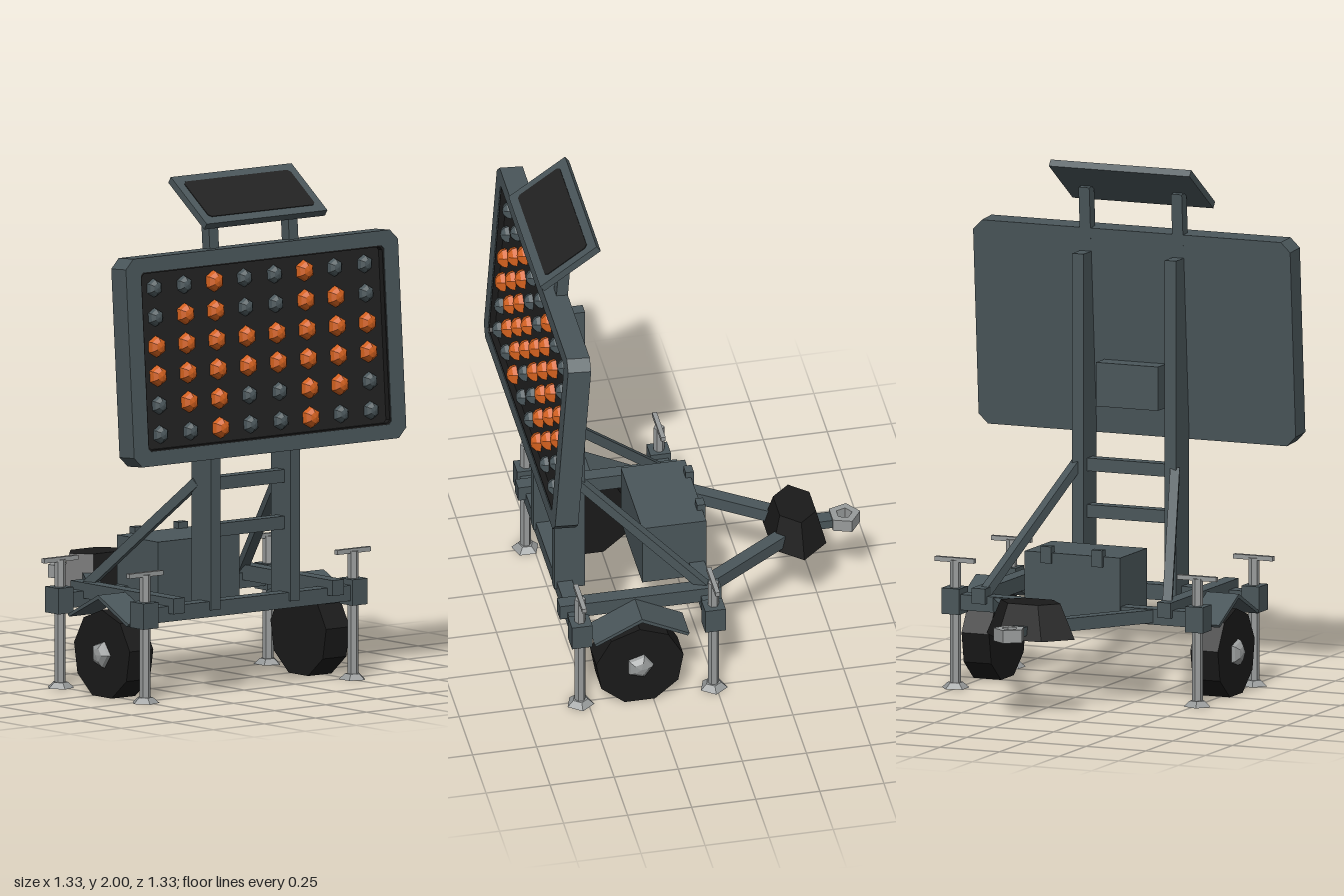
import * as THREE from 'three';

const mat = (name, color) => {
  const m = new THREE.MeshStandardMaterial({ color });
  m.name = name;
  return m;
};

export function createModel() {
  const model = new THREE.Group();
  model.name = 'arrowBoardTrailer';
  const steel = mat('slate steel', 0x4a565a);
  const black = mat('rubber black', 0x1a1a1a);
  const dark = mat('panel charcoal', 0x222222);
  const metal = mat('bare metal', 0x989b9b);
  const orange = mat('amber lamp', 0xd2601e);

  // Unshared vertices give crisp facets
  const facet = (g) => {
    const f = g.index ? g.toNonIndexed() : g;
    f.computeVertexNormals();
    return f;
  };
  const add = (name, geo, material, x = 0, y = 0, z = 0, parent = model) => {
    const m = new THREE.Mesh(geo, material);
    m.name = name;
    m.position.set(x, y, z);
    parent.add(m);
    return m;
  };
  const box = (name, w, h, d, x, y, z, material = steel, parent = model) =>
    add(name, new THREE.BoxGeometry(w, h, d), material, x, y, z, parent);
  // Square bar running between two points
  const bar = (name, a, b, w, h) => {
    const p = new THREE.Vector3(...a), q = new THREE.Vector3(...b);
    const mid = p.clone().add(q).multiplyScalar(0.5);
    const m = box(name, w, h, p.distanceTo(q), mid.x, mid.y, mid.z);
    m.lookAt(q);
    return m;
  };
  // Rectangle with cut corners
  const cutRect = (w, h, c, Type = THREE.Shape) => {
    const x = w / 2, y = h / 2;
    return new Type([
      [x - c, -y], [x, c - y], [x, y - c], [x - c, y],
      [c - x, y], [-x, y - c], [-x, c - y], [c - x, -y],
    ].map((p) => new THREE.Vector2(...p)));
  };
  const extrude = (shape, depth) => new THREE.ExtrudeGeometry(shape, { depth, bevelEnabled: false });
  const ring = (w, h, c, iw, ih, ic, depth) => {
    const s = cutRect(w, h, c);
    s.holes.push(cutRect(iw, ih, ic, THREE.Path));
    return extrude(s, depth);
  };

  // Sign: slab, raised frame, dark lining and face
  const sign = new THREE.Group();
  sign.name = 'signBoard';
  sign.position.set(0, 1.33, 0.59);
  sign.rotation.x = -0.07;
  model.add(sign);
  add('signBack', extrude(cutRect(1.33, 0.8, 0.038), 0.06), steel, 0, 0, -0.045, sign);
  add('signFrame', ring(1.33, 0.8, 0.038, 1.188, 0.688, 0.012, 0.03), steel, 0, 0, 0.015, sign);
  add('frameLining', ring(1.188, 0.688, 0.012, 1.176, 0.676, 0.012, 0.027), black, 0, 0, 0.015, sign);
  add('signFace', extrude(cutRect(1.186, 0.686, 0.012), 0.004), dark, 0, 0, 0.015, sign);

  // Lamps: lit ones form a double-headed arrow
  const lampGeo = (r) => facet(new THREE.SphereGeometry(r, 6, 3, 0, Math.PI * 2, 0, Math.PI / 2)
    .rotateX(Math.PI / 2).rotateZ(Math.PI / 6).scale(1, 1, 0.85));
  const onGeo = lampGeo(0.042), offGeo = lampGeo(0.036);
  ['..#..#..', '.##..##.', '########', '########', '.##..##.', '..#..#..'].forEach((row, j) => {
    [...row].forEach((c, i) => {
      const lit = c === '#';
      add(lit ? 'litLamp' : 'unlitLamp', lit ? onGeo : offGeo, lit ? orange : steel,
        (i - 3.5) * 0.147, (2.5 - j) * 0.1125 - 0.003, 0.019, sign);
    });
  });

  // Solar panel
  const solar = new THREE.Group();
  solar.name = 'solarPanel';
  solar.position.set(0, 1.908, 0.523);
  solar.rotation.x = -0.953;
  model.add(solar);
  box('solarFrame', 0.59, 0.27, 0.028, 0, 0, 0, steel, solar);
  add('solarCells', extrude(cutRect(0.52, 0.2, 0.012), 0.004), dark, 0, 0, 0.013, solar);

  // Mast
  for (const s of [-1, 1]) {
    box('mastPost', 0.047, 1.3, 0.12, s * 0.194, 0.985, 0.51);
    box('solarPost', 0.045, 0.2, 0.045, s * 0.194, 1.785, 0.535).rotation.x = -0.07;
    bar('mastBrace', [s * 0.385, 0.37, 0.0], [s * 0.205, 0.82, 0.47], 0.036, 0.036);
  }
  for (const y of [0.635, 0.815]) box('mastCrossbar', 0.35, 0.05, 0.05, 0, y, 0.51);
  box('controlBox', 0.26, 0.17, 0.09, 0, 1.13, 0.52);

  // Chassis
  for (const z of [0.01, 0.53]) box('crossBeam', 1.07, 0.06, 0.06, 0, 0.338, z);
  for (const s of [-1, 1]) {
    box('sideRail', 0.057, 0.06, 0.63, s * 0.389, 0.37, 0.275);
    bar('drawbarArm', [s * 0.325, 0.34, 0.01], [s * 0.075, 0.34, -0.355], 0.052, 0.05);
  }

  // Battery box with latches
  box('batteryBox', 0.4, 0.255, 0.25, 0, 0.43, 0.098);
  for (const s of [-1, 1]) box('latch', 0.045, 0.065, 0.032, s * 0.107, 0.55, -0.022);

  // Wheels, hubs and fenders
  const tyre = facet(new THREE.CylinderGeometry(0.173, 0.173, 0.115, 9)
    .rotateZ(Math.PI / 2).rotateX(-Math.PI / 2));
  const hub = facet(new THREE.SphereGeometry(0.056, 5, 3, 0, Math.PI * 2, 0, Math.PI / 2)
    .scale(1, 0.65, 1).rotateZ(-Math.PI / 2).rotateX(-Math.PI / 2));
  const chevron = new THREE.Shape([
    [-0.185, 0.285], [0, 0.378], [0.185, 0.285], [0.178, 0.275], [0, 0.362], [-0.178, 0.275],
  ].map((p) => new THREE.Vector2(...p)));
  const fender = extrude(chevron, 0.135).translate(0, 0, -0.0675).rotateY(Math.PI / 2);
  for (const s of [-1, 1]) {
    add('tyre', tyre, black, s * 0.48, 0.1625, 0.303);
    add('hub', hub, metal, s * 0.532, 0.164, 0.303).rotation.y = s < 0 ? Math.PI : 0;
    add('fender', fender, steel, s * 0.484, 0.015, 0.297);
  }

  // Levelling jacks at the four corners
  const post = facet(new THREE.CylinderGeometry(0.021, 0.021, 0.48, 6));
  const foot = facet(new THREE.CylinderGeometry(0.03, 0.055, 0.022, 5));
  for (const s of [-1, 1]) {
    for (const z of [0.01, 0.53]) {
      const jack = new THREE.Group();
      jack.name = 'jack';
      jack.position.set(s * 0.508, 0, z);
      model.add(jack);
      add('jackPost', post, metal, 0, 0.255, 0, jack);
      add('jackFoot', foot, metal, 0, 0.011, 0, jack).rotation.y = s * Math.PI / 2;
      box('jackHandle', 0.165, 0.018, 0.018, 0, 0.496, 0, metal, jack);
      box('jackClamp', 0.075, 0.1, 0.08, s * 0.003, 0.34, 0, steel, jack);
    }
  }

  // Drawbar nose and towing eye
  const nose = facet(new THREE.CylinderGeometry(0.125, 0.185, 0.135, 6)
    .rotateY(Math.PI / 6).scale(1, 1, 0.655));
  add('drawbarNose', nose, black, 0, 0.3675, -0.413);
  box('couplerStub', 0.058, 0.035, 0.08, 0, 0.337, -0.53);
  const pentagon = (r, Type) => new Type(Array.from({ length: 5 }, (_, i) => {
    const a = Math.PI / 2 + i * Math.PI * 0.4;
    return new THREE.Vector2(r * Math.cos(a), r * Math.sin(a));
  }));
  const eye = pentagon(0.063, THREE.Shape);
  eye.holes.push(pentagon(0.032, THREE.Path));
  add('towingEye', extrude(eye, 0.05).translate(0, 0, -0.025).rotateX(-Math.PI / 2), metal, 0, 0.337, -0.606);

  return model;
}
